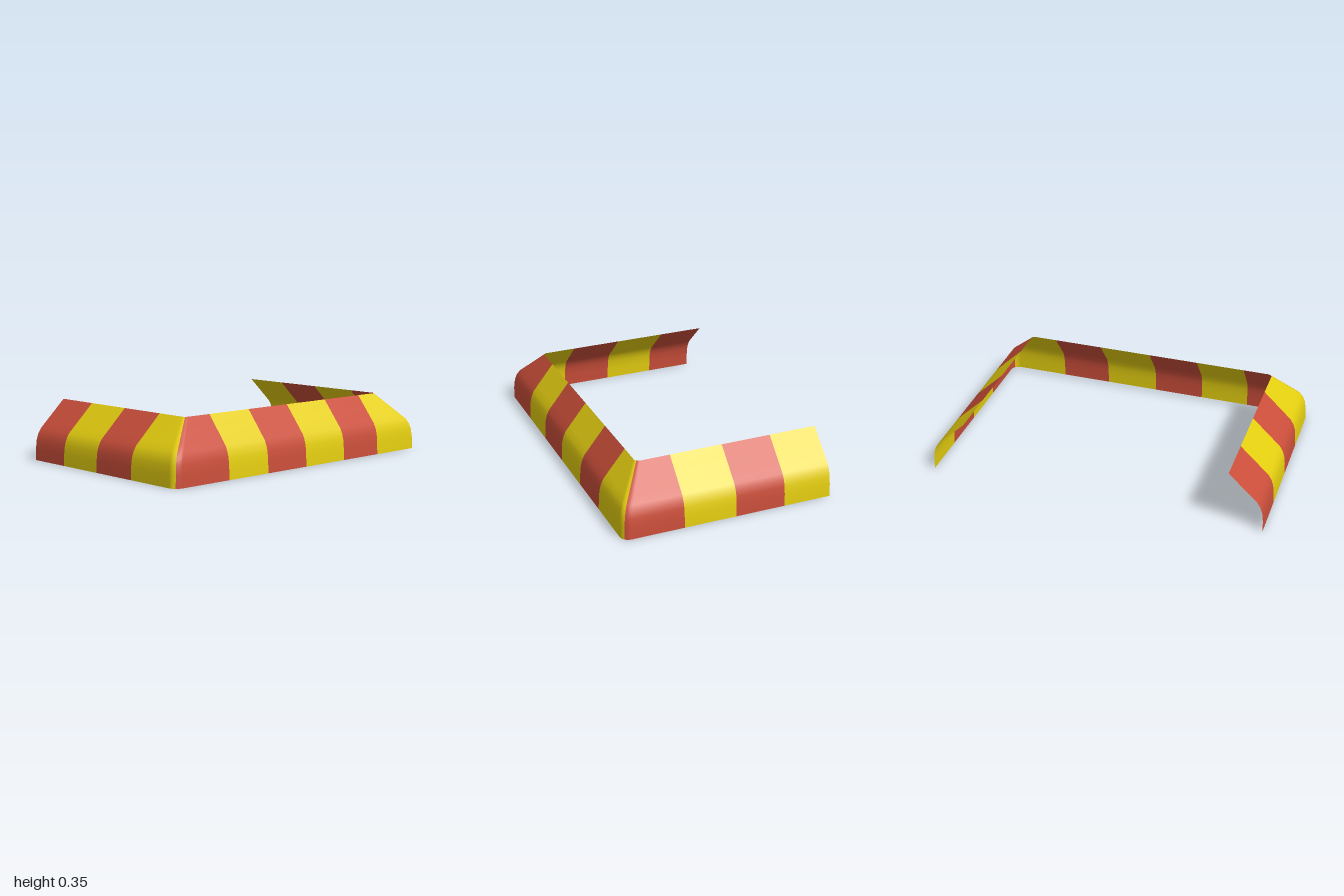
import * as THREE from 'three';

// Half sizes, and how far the top edge leans inward
const HX = 1, HZ = 0.63, LEAN_X = 0.21, LEAN_Z = 0.16;

// Cross-section of the sheet: [share of the lean, height]
const PROFILE = [
  [0, 0], [0.015, 0.07], [0.045, 0.12], [0.1, 0.155], [0.19, 0.186],
  [0.36, 0.22], [0.68, 0.284], [1, 0.348],
];

const ARC = [0, 15, 30, 45].map((a) => THREE.MathUtils.degToRad(a));

// Point on the rounded corner, angle measured from +x toward +z
const corner = (side, angle) => (t) => {
  const r = 0.05 - 0.025 * t;
  return [
    side * (HX - LEAN_X * t - r + r * Math.cos(angle)),
    HZ - LEAN_Z * t - r + r * Math.sin(angle),
  ];
};
const onFront = (x) => (t) => [x, HZ - LEAN_Z * t];
const onSide = (side, z) => (t) => [side * (HX - LEAN_X * t), z];

// One wall: columns run left to right seen from outside, each with its stripe number
function makeWall(name, columns, materials) {
  const rows = PROFILE.length;
  const positions = [], index = [];
  const geometry = new THREE.BufferGeometry();
  columns.forEach(({ at }) => PROFILE.forEach(([t, y]) => {
    const [x, z] = at(t);
    positions.push(x, y, z);
  }));
  for (let c = 0; c < columns.length - 1; c++) {
    const start = index.length;
    for (let r = 0; r < rows - 1; r++) {
      const a = c * rows + r, b = a + rows;
      index.push(a, b, b + 1, a, b + 1, a + 1);
    }
    geometry.addGroup(start, index.length - start, columns[c].stripe % 2);
  }
  geometry.setAttribute('position', new THREE.Float32BufferAttribute(positions, 3));
  geometry.setIndex(index);
  geometry.computeVertexNormals();
  const mesh = new THREE.Mesh(geometry, materials);
  mesh.name = name;
  return mesh;
}

export function createModel() {
  const red = new THREE.MeshStandardMaterial({ color: 0xca4e3a, side: THREE.DoubleSide });
  red.name = 'red';
  const yellow = new THREE.MeshStandardMaterial({ color: 0xe4ce10, side: THREE.DoubleSide });
  yellow.name = 'yellow';

  const group = new THREE.Group();
  group.name = 'stripedBarrier';

  // Front wall, mitred at both rounded corners
  const frontStops = [-0.61, -0.31, 0, 0.325, 0.63];
  const front = [
    ...ARC.map((a) => ({ at: corner(-1, Math.PI / 4 + a), stripe: 0 })),
    ...frontStops.map((x, i) => ({ at: onFront(x), stripe: i + 1 })),
    ...ARC.map((a) => ({ at: corner(1, Math.PI / 2 - a), stripe: 5 })),
  ];
  group.add(makeWall('frontWall', front, [red, yellow]));

  // Left wall, from the corner to the open back
  const left = [
    ...ARC.map((a) => ({ at: corner(1, Math.PI / 4 - a), stripe: 0 })),
    ...[0.268, -0.045, -0.343, -HZ].map((z, i) => ({ at: onSide(1, z), stripe: i + 1 })),
  ];
  group.add(makeWall('leftWall', left, [red, yellow]));

  // Right wall, from the open back to the corner
  const right = [
    ...[-HZ, -0.35, -0.045, 0.26].map((z, i) => ({ at: onSide(-1, z), stripe: i })),
    ...ARC.map((a) => ({ at: corner(-1, a), stripe: 3 })),
  ];
  group.add(makeWall('rightWall', right, [red, yellow]));

  return group;
}
